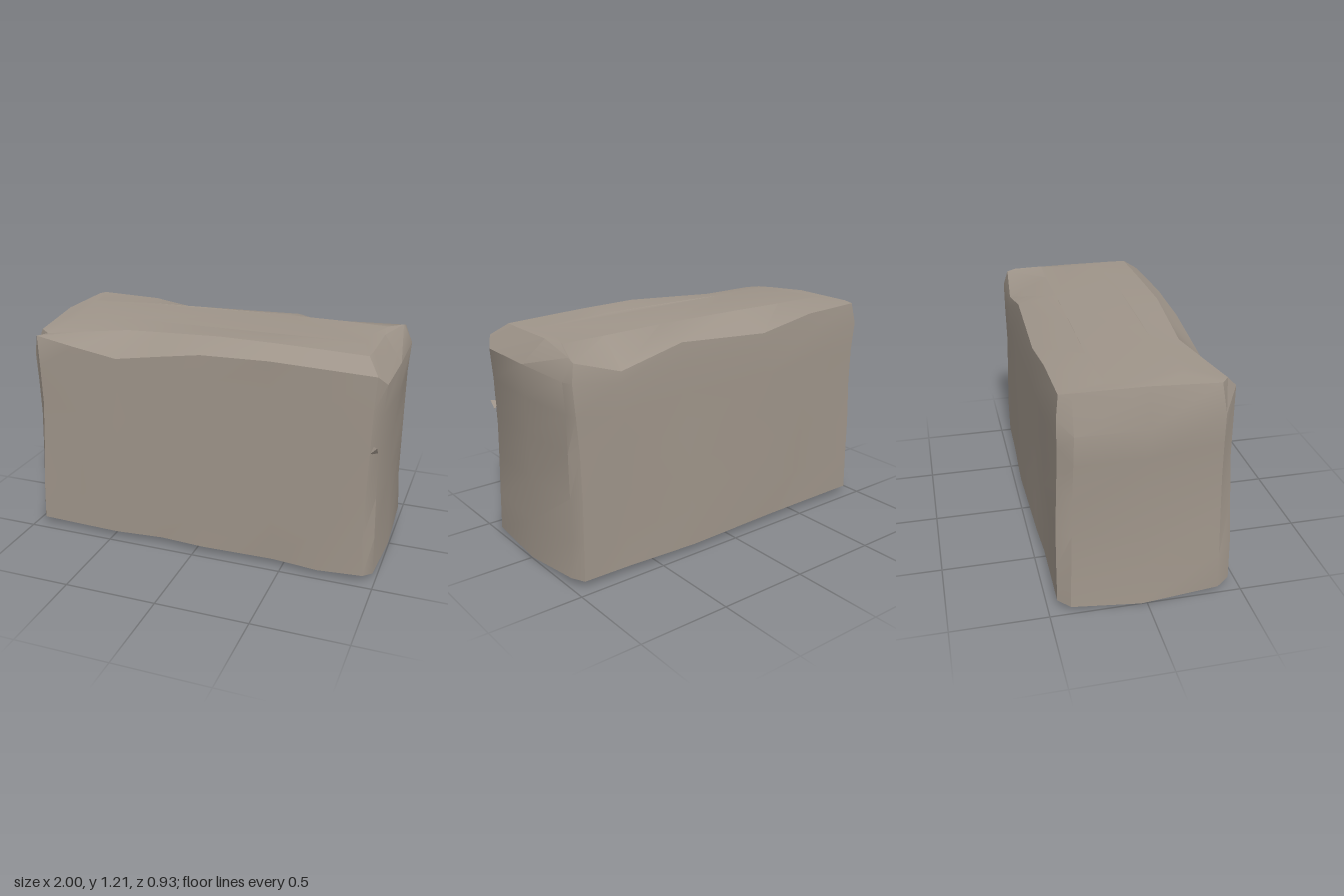
import * as THREE from 'three';
import { toCreasedNormals } from 'three/addons/utils/BufferGeometryUtils.js';

// Cross-sections run: front (left to right), right side, back, left side.
// Ragged bottom edge
const base = [
  [-0.94, 0.05, 0.45], [-0.7, 0.04, 0.445], [-0.47, 0.045, 0.46], [-0.2, 0.05, 0.445], [0.05, 0.05, 0.462],
  [0.45, 0.045, 0.445], [0.7, 0.04, 0.465], [0.94, 0.05, 0.455],
  [0.98, 0.03, 0.38], [0.995, 0.01, 0], [0.985, 0.055, -0.38],
  [0.945, 0.05, -0.445], [0.69, 0.05, -0.45], [0.27, 0.045, -0.465], [-0.3, 0.05, -0.455], [-0.5, 0.045, -0.445],
  [-0.93, 0.05, -0.45],
  [-0.985, 0.04, -0.39], [-1, 0.01, -0.03], [-0.985, 0.035, 0.38],
];
// Shoulder, where the walls begin to turn into the top
const shoulder = [
  [-0.92, 1.15, 0.425], [-0.7, 1.11, 0.425], [-0.45, 1.07, 0.425], [-0.2, 1.11, 0.425], [0.03, 1.145, 0.425],
  [0.4, 1.155, 0.43], [0.7, 1.145, 0.43], [0.945, 1.135, 0.425],
  [0.985, 1.08, 0.36], [0.99, 1.08, 0], [0.985, 1.08, -0.38],
  [0.965, 1.08, -0.435], [0.69, 1.03, -0.435], [0.32, 1.07, -0.435], [-0.23, 1.05, -0.435], [-0.58, 1.08, -0.435],
  [-0.95, 1.08, -0.435],
  [-0.985, 1.0, -0.36], [-0.99, 1.0, 0], [-0.97, 1.03, 0.37],
];
// Edge of the top face
const rim = [
  [-0.86, 1.165, 0.405], [-0.65, 1.18, 0.35], [-0.43, 1.195, 0.295], [-0.2, 1.208, 0.31], [0.1, 1.224, 0.33],
  [0.4, 1.22, 0.33], [0.65, 1.213, 0.33], [0.88, 1.205, 0.33],
  [0.885, 1.205, 0.25], [0.885, 1.205, -0.06], [0.935, 1.185, -0.36],
  [0.94, 1.17, -0.41], [0.69, 1.09, -0.43], [0.32, 1.17, -0.425], [-0.23, 1.13, -0.43], [-0.58, 1.185, -0.425],
  [-0.93, 1.195, -0.42],
  [-0.94, 1.2, -0.36], [-0.945, 1.2, 0], [-0.92, 1.17, 0.36],
];
const count = base.length;

// Wall section between base and shoulder, narrowed a little and weathered
function wallRing(t) {
  const waist = 1 - 0.018 * Math.sin(Math.PI * t);
  return base.map((b, i) => {
    const s = shoulder[i];
    const wear = 0.005 * Math.sin(i * 2.3 + t * 7);
    const x = THREE.MathUtils.lerp(b[0], s[0], t);
    const z = THREE.MathUtils.lerp(b[2], s[2], t);
    return [x * waist + wear * Math.sign(x) * (Math.abs(x) > 0.9), THREE.MathUtils.lerp(b[1], s[1], t),
      z + wear * Math.sign(z) * (Math.abs(z) > 0.41)];
  });
}

function surface(rings, capped) {
  const indices = [];
  for (let r = 0; r < rings.length - 1; r++) {
    for (let i = 0; i < count; i++) {
      const a = r * count + i;
      const b = r * count + (i + 1) % count;
      indices.push(a, b, b + count, a, b + count, a + count);
    }
  }
  if (capped) {
    const last = rings[rings.length - 1];
    const start = (rings.length - 1) * count;
    const outline = last.map(([x, , z]) => new THREE.Vector2(x, -z));
    for (const face of THREE.ShapeUtils.triangulateShape(outline, [])) {
      indices.push(...face.map((i) => start + i));
    }
  }
  const geometry = new THREE.BufferGeometry();
  geometry.setAttribute('position', new THREE.Float32BufferAttribute(rings.flat(2), 3));
  geometry.setIndex(indices);
  return toCreasedNormals(geometry, 0.55);
}

export function createModel() {
  const stone = new THREE.MeshStandardMaterial({ color: 0x9f958a, side: THREE.DoubleSide });
  stone.name = 'warm grey stone';

  // Gently crowned middle of the top
  const crown = rim.map(([x, , z]) => [x * 0.93, 1.203 + 0.015 * (1 - (x - 0.12) ** 2), z * 0.5]);
  const rings = [base, ...[0.2, 0.42, 0.65, 0.84].map(wallRing), shoulder, rim, crown];

  // Hollow block, open underneath
  const block = new THREE.Mesh(surface(rings, true), stone);
  block.name = 'stoneBlock';

  // Small chip standing out on the front right edge
  const chip = new THREE.Mesh(new THREE.TetrahedronGeometry(0.035), stone);
  chip.name = 'edgeChip';
  chip.position.set(0.945, 0.75, 0.415);

  const group = new THREE.Group();
  group.name = 'stone';
  group.add(block, chip);
  return group;
}
